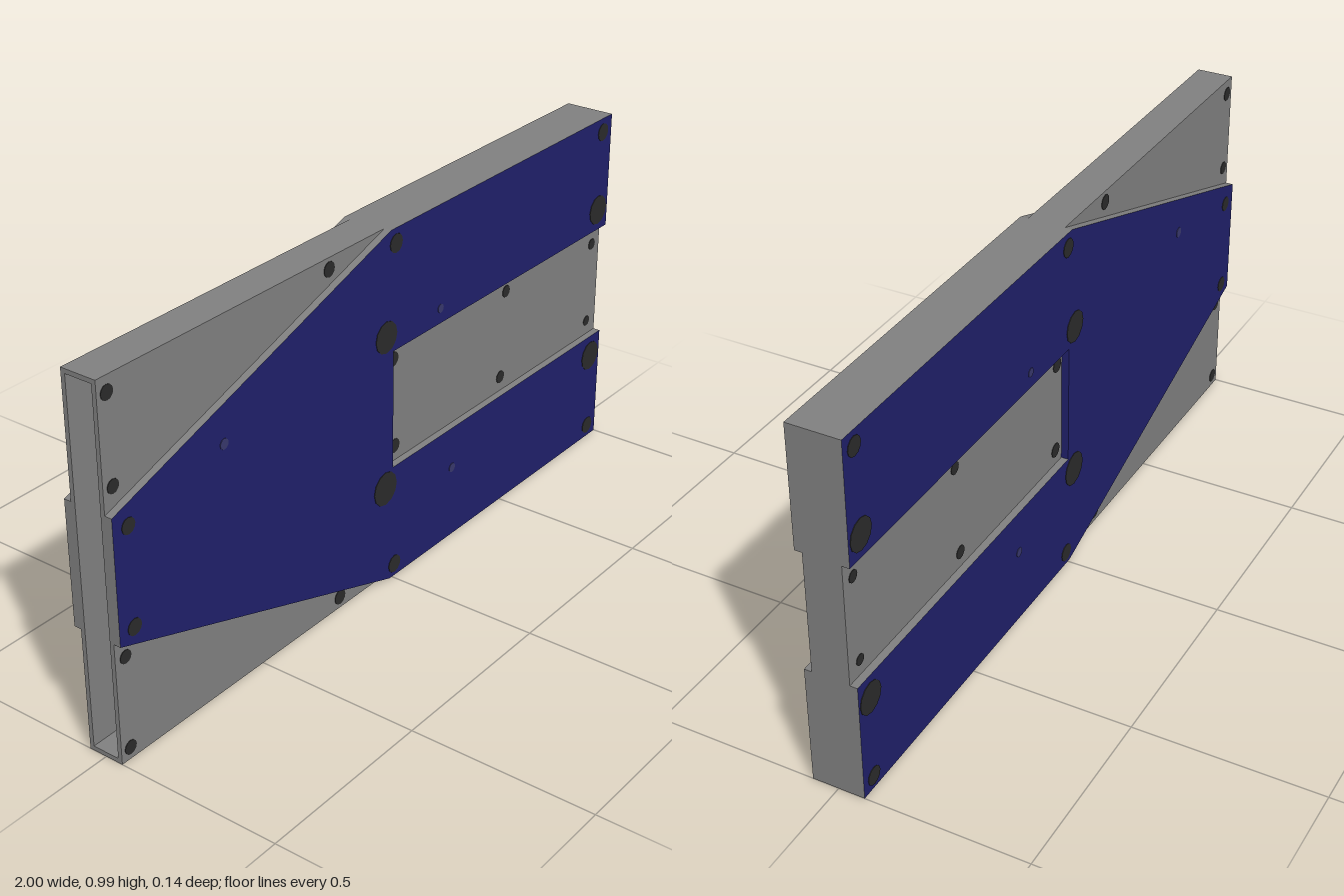
import * as THREE from 'three';

const W = 2, H = 0.985, CORE = 0.05, FACE = 0.07, WALL = 0.012;

const mat = (name, color) => {
  const m = new THREE.MeshStandardMaterial({ color });
  m.name = name;
  return m;
};

export function createModel() {
  const grey = mat('grey', 0x808080);
  const navy = mat('navy', 0x20206a);
  const dark = mat('dark rivet', 0x2b2b2b);
  const faded = mat('faded navy', 0x38386c);

  const model = new THREE.Group();
  model.name = 'arrowPanel';

  const add = (parent, name, geometry, material, x, y, z) => {
    const mesh = new THREE.Mesh(geometry, material);
    mesh.name = name;
    mesh.position.set(x, y, z);
    parent.add(mesh);
    return mesh;
  };
  const box = (parent, name, w, h, d, x, y, z) =>
    add(parent, name, new THREE.BoxGeometry(w, h, d), grey, x, y, z);

  // Hollow casing, open at the -x end
  const casing = new THREE.Group();
  casing.name = 'casing';
  model.add(casing);
  const inner = 2 * (CORE - WALL);
  for (const s of [1, -1]) {
    box(casing, s > 0 ? 'frontWall' : 'backWall', W, H, WALL, 0, H / 2, s * (CORE - WALL / 2));
    box(casing, s > 0 ? 'topWall' : 'bottomWall', W, WALL, inner, 0, H / 2 + s * (H - WALL) / 2, 0);
  }
  box(casing, 'endWall', WALL, H - 2 * WALL, inner, W / 2 - WALL / 2, H / 2, 0);

  // Raised arrow plate with a slot open at +x
  const outline = [
    [-1, 0.33], [-0.01, 0], [1, 0], [1, 0.328], [0, 0.328],
    [0, 0.658], [1, 0.658], [1, H], [-0.01, H], [-1, 0.66],
  ].map(([x, y]) => new THREE.Vector2(x, y));
  const plateGeometry = new THREE.ExtrudeGeometry(new THREE.Shape(outline), {
    depth: FACE - CORE, bevelEnabled: false,
  });

  // Rivets and scuffs: x, y, radius
  const casingRivets = [
    [-0.97, 0.945, 0.019], [-0.97, 0.72, 0.018], [-0.225, 0.955, 0.02],
    [-0.967, 0.28, 0.018], [-0.97, 0.032, 0.019], [-0.195, 0.032, 0.021],
    [0.028, 0.62, 0.02], [0.53, 0.62, 0.017], [0.962, 0.606, 0.016],
    [0.035, 0.37, 0.02], [0.515, 0.37, 0.018], [0.955, 0.37, 0.015],
  ];
  const plateRivets = [
    [-0.952, 0.62, 0.021], [-0.952, 0.36, 0.022],
    [0.01, 0.945, 0.025], [0.957, 0.945, 0.025],
    [0.01, 0.036, 0.025], [0.957, 0.036, 0.025],
    [-0.028, 0.707, 0.043], [0.952, 0.718, 0.042],
    [-0.03, 0.28, 0.047], [0.952, 0.266, 0.043],
  ];
  const scuffs = [[-0.635, 0.68, 0.014], [0.2, 0.7, 0.012], [0.265, 0.208, 0.013]];

  for (const s of [1, -1]) {
    const side = new THREE.Group();
    side.name = s > 0 ? 'frontFace' : 'backFace';
    model.add(side);
    add(side, 'arrowPlate', plateGeometry, [navy, grey], 0, 0, s > 0 ? CORE : -FACE);

    // Coloured inner end of the slot
    add(side, 'slotEnd', new THREE.BoxGeometry(0.002, 0.33, FACE - CORE), navy,
      0.001, 0.493, s * (CORE + FACE) / 2);

    const discs = (name, list, material, z) => {
      for (const [x, y, r] of list) {
        const disc = add(side, name, new THREE.CylinderGeometry(r, r, 0.003, 12), material, x, y, s * z);
        disc.rotation.x = Math.PI / 2;
      }
    };
    discs('casingRivet', casingRivets, dark, CORE);
    discs('plateRivet', plateRivets, dark, FACE);
    discs('scuff', scuffs, faded, FACE);
  }
  return model;
}
